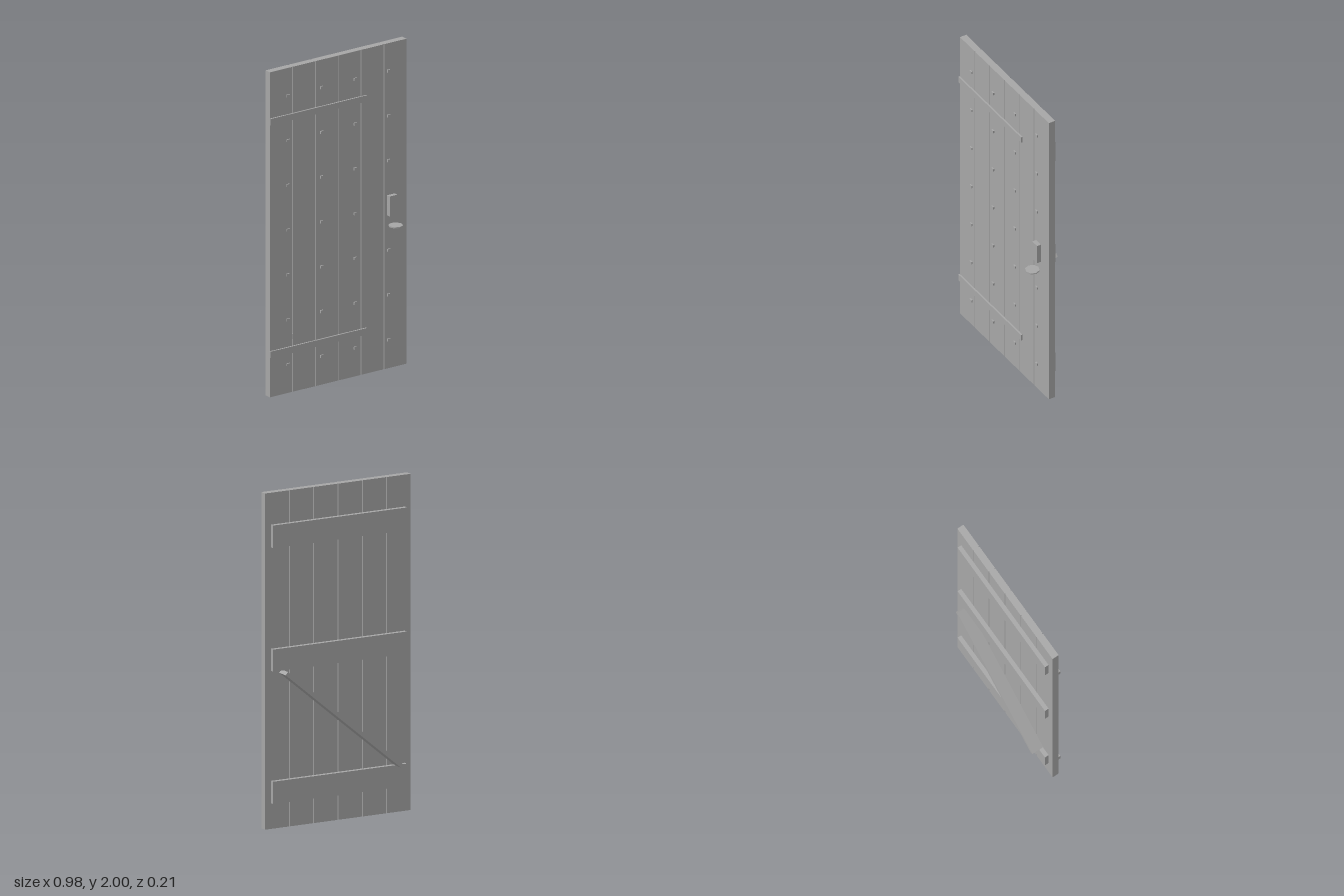
import * as THREE from 'three';

export function createModel() {
  const door = new THREE.Group();
  door.name = 'plankDoor';
  const grey = new THREE.MeshStandardMaterial({ color: 0xa6a6a6 });
  grey.name = 'grey';

  const BACK = -0.03, FRONT = 0.013, HALF = 0.487, PLANKS = 6, CH = 0.004;

  const add = (name, geometry) => {
    const mesh = new THREE.Mesh(geometry, grey);
    mesh.name = name;
    door.add(mesh);
    return mesh;
  };
  // box given by its limits on each axis
  const box = (name, x0, x1, y0, y1, z0, z1) => {
    const mesh = add(name, new THREE.BoxGeometry(x1 - x0, y1 - y0, z1 - z0));
    mesh.position.set((x0 + x1) / 2, (y0 + y1) / 2, (z0 + z1) / 2);
    return mesh;
  };

  // upright planks, bevelled where they meet so V grooves show on both faces
  const w = (2 * HALF) / PLANKS;
  for (let i = 0; i < PLANKS; i++) {
    const x0 = -HALF + i * w, x1 = x0 + w;
    const l = i > 0 ? CH : 0, r = i < PLANKS - 1 ? CH : 0;
    const pts = [[x0 + l, -FRONT], [x1 - r, -FRONT]];
    if (r) pts.push([x1, -FRONT + r]);
    if (r) pts.push([x1, -BACK - r]);
    pts.push([x1 - r, -BACK], [x0 + l, -BACK]);
    if (l) pts.push([x0, -BACK - l], [x0, -FRONT + l]);
    const shape = new THREE.Shape(pts.map(([x, y]) => new THREE.Vector2(x, y)));
    const geometry = new THREE.ExtrudeGeometry(shape, { depth: 2, bevelEnabled: false });
    geometry.rotateX(-Math.PI / 2);
    add('plank', geometry);
  }

  // cross rails on the back
  for (const [y0, y1] of [[0.153, 0.286], [0.94, 1.072], [1.675, 1.81]]) {
    box('backRail', -0.447, 0.447, y0, y1, -0.056, BACK);
  }

  // diagonal brace, let into the planks
  const brace = box('diagonalBrace', -0.501, 0.501, 0.599, 0.623, -0.106, 0.0095);
  brace.rotation.z = Math.atan2(0.642, 0.77);

  // hinge straps
  box('hingeStrap', -0.489, 0.198, 0.244, 0.284, FRONT - 0.002, 0.023);
  box('hingeStrap', -0.489, 0.198, 1.677, 1.716, FRONT - 0.002, 0.023);

  // square nail heads
  for (const x of [-0.359, -0.12, 0.119, 0.358]) {
    for (let j = 0; j < 7; j++) {
      const y = 0.176 + j * 0.2757;
      box('nailHead', x - 0.01, x + 0.01, y - 0.008, y + 0.008, FRONT - 0.002, 0.021);
    }
  }

  // latch plate with a flat handle below it
  box('latchPlate', 0.349, 0.402, 0.942, 1.066, FRONT - 0.002, 0.04);
  const handle = add('handle', new THREE.CylinderGeometry(0.043, 0.043, 0.007, 8).toNonIndexed());
  handle.geometry.computeVertexNormals();
  handle.position.set(0.378, 0.887, 0.058);

  return door;
}
